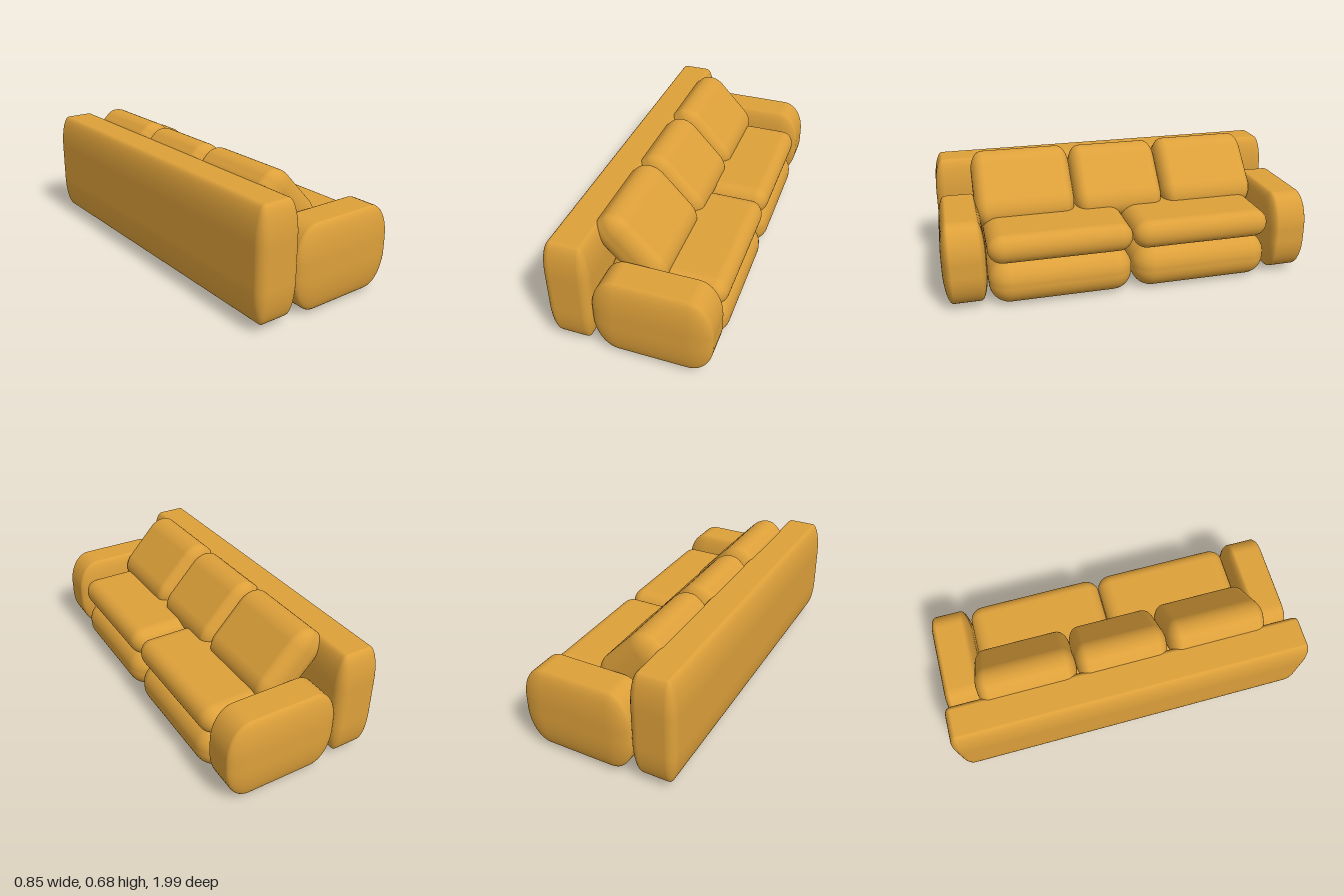
import * as THREE from 'three';
import { RoundedBoxGeometry } from 'three/addons/geometries/RoundedBoxGeometry.js';

const fabric = new THREE.MeshStandardMaterial({ color: 0xdda03a });

// Upholstered block: a box whose rounding differs along each axis.
function softBox(name, [w, h, d], [rx, ry, rz], [x, y, z]) {
  const geometry = new RoundedBoxGeometry(w / rx, h / ry, d / rz, 6, 1);
  geometry.scale(rx, ry, rz);
  const mesh = new THREE.Mesh(geometry, fabric);
  mesh.name = name;
  mesh.position.set(x, y, z);
  return mesh;
}

export function createModel() {
  const sofa = new THREE.Group();
  sofa.name = 'sofa';

  // Long back panel; the seat faces +x
  sofa.add(softBox('backrest', [0.24, 0.59, 1.98], [0.05, 0.19, 0.05], [-0.307, 0.335, 0.003]));

  for (const side of [1, -1]) {
    const label = side > 0 ? 'Left' : 'Right';
    // Armrest, lower seat block and seat cushion on each half
    sofa.add(softBox('armrest' + label, [0.615, 0.45, 0.23], [0.125, 0.19, 0.045], [0.117, 0.245, side * 0.882]));
    sofa.add(softBox('seatBase' + label, [0.615, 0.24, 0.766], [0.11, 0.11, 0.11], [0.112, 0.122, side * 0.384]));
    sofa.add(softBox('seatCushion' + label, [0.61, 0.156, 0.764], [0.07, 0.077, 0.08], [0.112, 0.317, side * 0.383]));
  }

  // Three loose cushions leaning against the backrest
  const cushions = [
    ['backCushionLeft', 0.525, 0.545, 0.494],
    ['backCushionMiddle', 0.0, 0.502, 0.488],
    ['backCushionRight', -0.52, 0.54, 0.493],
  ];
  for (const [name, z, width, y] of cushions) {
    const cushion = softBox(name, [0.208, 0.44, width], [0.09, 0.11, 0.065], [-0.064, y, z]);
    cushion.rotation.z = THREE.MathUtils.degToRad(43);
    sofa.add(cushion);
  }
  return sofa;
}
